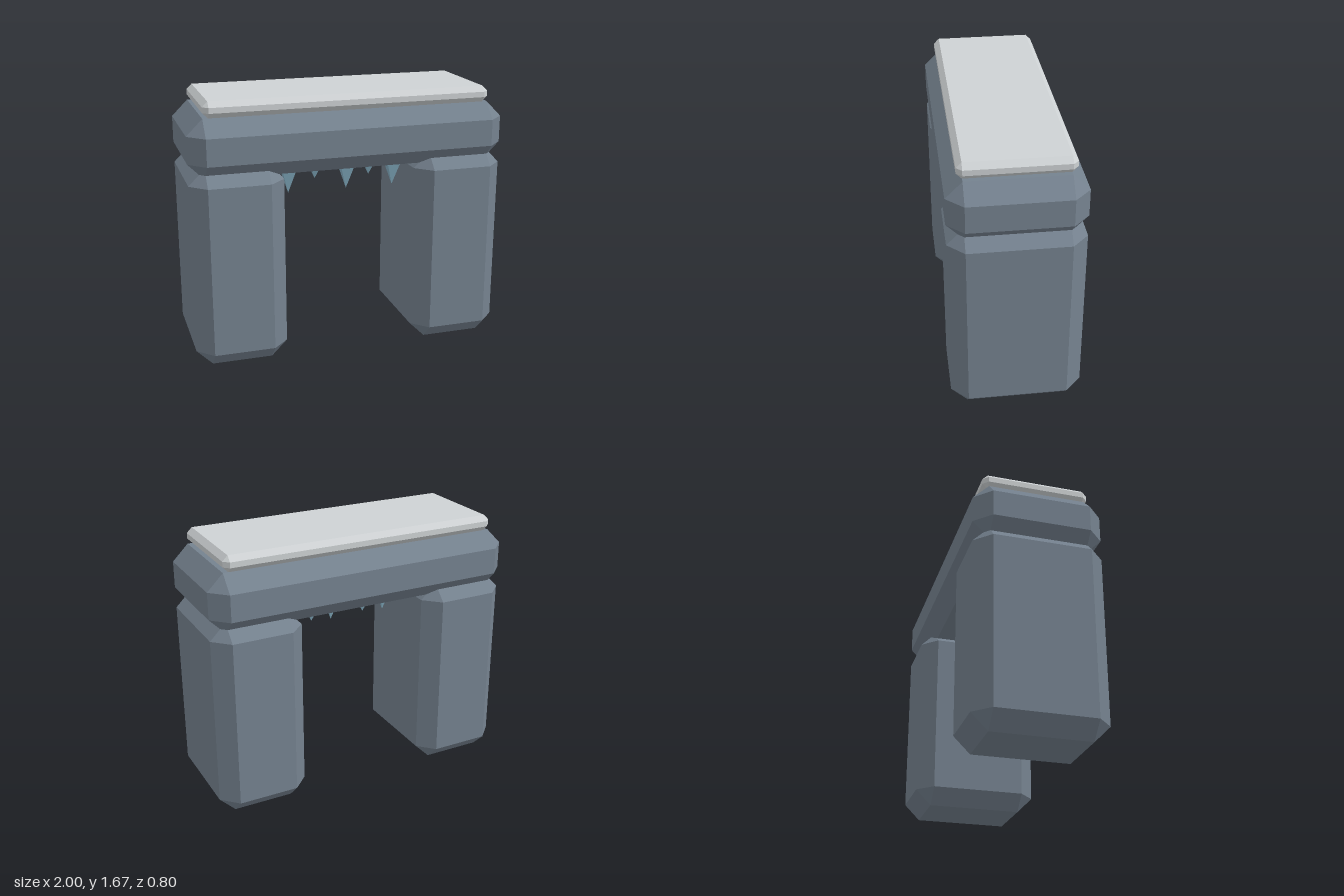
import * as THREE from 'three';
import { ConvexGeometry } from 'three/addons/geometries/ConvexGeometry.js';

const stone = new THREE.MeshStandardMaterial({ color: 0x75828f });
const snow = new THREE.MeshStandardMaterial({ color: 0xced2d4 });
const ice = new THREE.MeshStandardMaterial({ color: 0x86b0c4 });

// Box with every edge and corner cut off by c, centred on the origin
function chamferedBox(w, h, d, c) {
  const half = [w / 2, h / 2, d / 2];
  const points = [];
  for (const sx of [-1, 1]) for (const sy of [-1, 1]) for (const sz of [-1, 1]) {
    for (let outer = 0; outer < 3; outer++) {
      const p = half.map((v, axis) => (axis === outer ? v : v - c));
      points.push(new THREE.Vector3(p[0] * sx, p[1] * sy, p[2] * sz));
    }
  }
  return new ConvexGeometry(points);
}

function addPart(group, name, geometry, material, x, y, z) {
  const mesh = new THREE.Mesh(geometry, material);
  mesh.name = name;
  mesh.position.set(x, y, z);
  group.add(mesh);
}

export function createModel() {
  const model = new THREE.Group();
  model.name = 'stoneArch';

  // Two upright stones, their tops sunk into the lintel
  const pillar = chamferedBox(0.58, 1.267, 0.8, 0.1);
  addPart(model, 'rightPillar', pillar, stone, -0.71, 0.6335, 0);
  addPart(model, 'leftPillar', pillar, stone, 0.71, 0.6335, 0);

  // Lintel and the snow lying on it
  addPart(model, 'lintel', chamferedBox(2, 0.367, 0.8, 0.1), stone, 0, 1.3835, 0);
  addPart(model, 'snowCap', chamferedBox(1.8, 0.1, 0.667, 0.033), snow, 0, 1.617, 0);

  // Four-sided icicles, alternately long and short, under the lintel
  const icicles = new THREE.Group();
  icicles.name = 'icicles';
  [-0.335, -0.135, 0.05, 0.233, 0.365].forEach((x, i) => {
    const length = i % 2 ? 0.145 : 0.2;
    const cone = new THREE.ConeGeometry(0.082, length, 4).toNonIndexed();
    cone.rotateY(Math.PI / 4).rotateX(Math.PI);
    cone.computeVertexNormals();
    addPart(icicles, 'icicle', cone, ice, x, 1.2 - length / 2, i % 2 ? -0.04 : 0.05);
  });
  model.add(icicles);
  return model;
}
